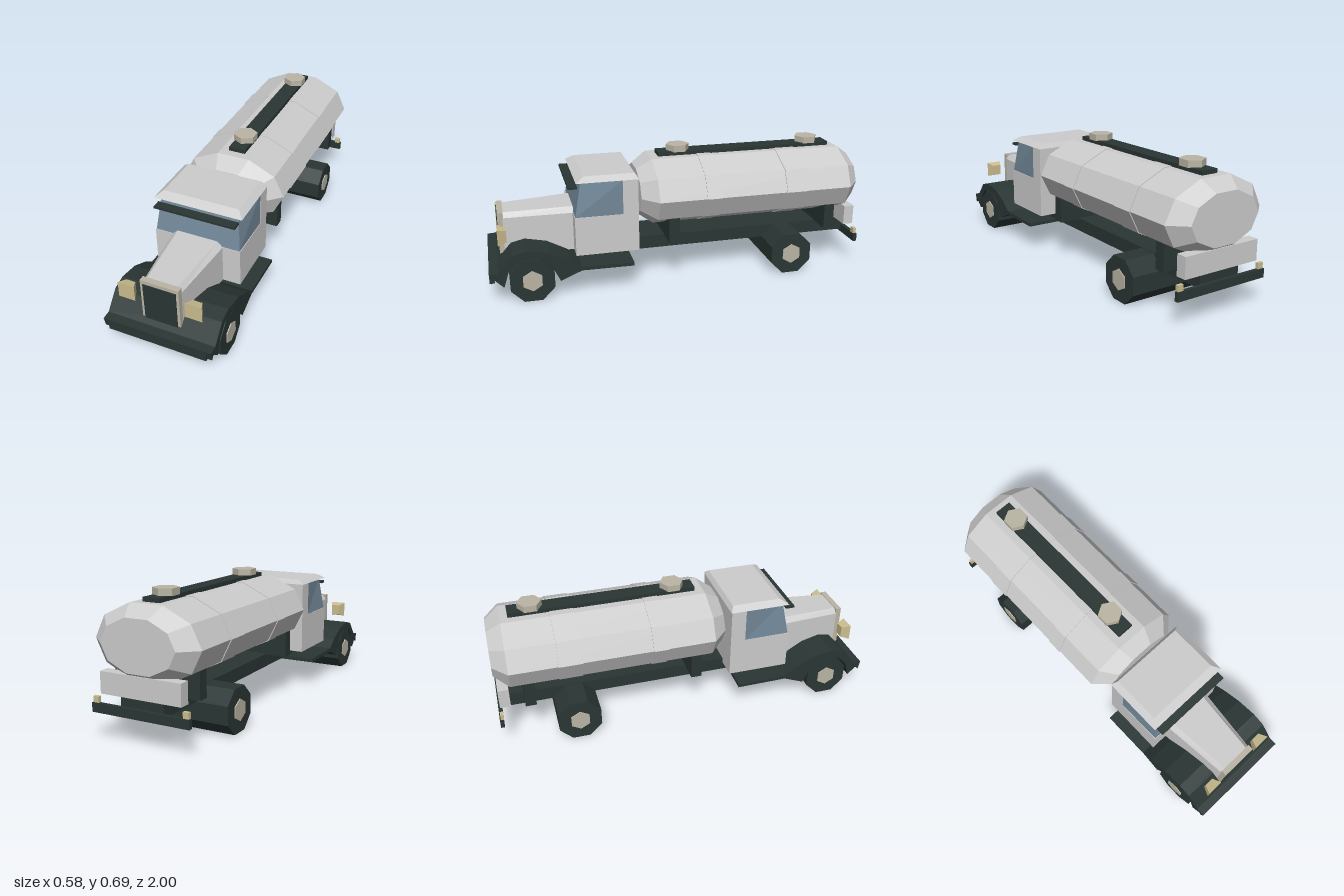
import * as THREE from 'three';

const mat = (name, color) => {
  const m = new THREE.MeshStandardMaterial({ color, flatShading: true });
  m.name = name;
  return m;
};

export function createModel() {
  const truck = new THREE.Group();
  truck.name = 'tankTruck';
  const paint = mat('light grey paint', 0xcccccc);
  const dark = mat('dark green black', 0x2a3634);
  const trim = mat('warm grey trim', 0xbab5a4);
  const lamp = mat('lamp yellow', 0xcbbd8f);
  const glass = mat('blue glass', 0x728899);

  const add = (name, geometry, material) => {
    const mesh = new THREE.Mesh(geometry, material);
    mesh.name = name;
    truck.add(mesh);
    return mesh;
  };
  // Box given by its limits on each axis
  const box = (name, m, x0, x1, y0, y1, z0, z1) => add(name,
    new THREE.BoxGeometry(x1 - x0, y1 - y0, z1 - z0)
      .translate((x0 + x1) / 2, (y0 + y1) / 2, (z0 + z1) / 2), m);
  // Box whose corners are moved by a rule
  const shaped = (name, m, rule) => {
    const g = new THREE.BoxGeometry(2, 2, 2);
    const p = g.attributes.position;
    for (let i = 0; i < p.count; i++) p.setXYZ(i, ...rule(p.getX(i), p.getY(i), p.getZ(i)));
    return add(name, g, m);
  };
  const shapeOf = (pts) => new THREE.Shape(pts.map(([x, y]) => new THREE.Vector2(x, y)));

  // Ten-sided oval body along z from [radius, z] pairs
  const oval = (name, pts) => {
    const g = new THREE.LatheGeometry(pts.map(([r, z]) => new THREE.Vector2(r, z)), 10, Math.PI / 2);
    g.rotateX(Math.PI / 2).scale(0.283, 0.186, 1).translate(0, 0.465, 0);
    return add(name, g, paint);
  };
  oval('tank', [[0, -1], [0.7, -1], [1, -0.925], [1, 0.13], [0.7, 0.21], [0, 0.21]]);
  for (const [a, b] of [[-0.68, -0.56], [-0.2, -0.12]])
    oval('tankBand', [[0, a], [1.018, a], [1.018, b], [0, b]]);

  // Walkway and filler caps
  box('walkway', dark, -0.045, 0.045, 0.635, 0.663, -0.885, 0.085);
  for (const z of [-0.03, -0.77])
    add('fillerCap', new THREE.CylinderGeometry(0.063, 0.063, 0.034, 6).translate(0, 0.678, z), trim);

  // Chassis, tank supports and rear end
  box('chassis', dark, -0.115, 0.115, 0.155, 0.225, -0.975, 0.85);
  for (const z of [0.043, -0.835])
    box('tankSupport', dark, -0.23, 0.23, 0.22, 0.355, z - 0.028, z + 0.028);
  box('rearBox', paint, -0.215, 0.215, 0.225, 0.33, -0.99, -0.935);
  box('rearBumper', dark, -0.26, 0.26, 0.135, 0.18, -1, -0.98);

  // Full-width wheels with hub caps
  for (const z of [0.79, -0.6]) {
    add('wheels', new THREE.CylinderGeometry(0.12, 0.12, 0.564, 8, 1, false, Math.PI / 8)
      .rotateZ(Math.PI / 2).translate(0, 0.111, z), dark);
    add('hubCaps', new THREE.CylinderGeometry(0.055, 0.055, 0.574, 6)
      .rotateZ(Math.PI / 2).rotateX(Math.PI / 2).translate(0, 0.111, z), trim);
  }

  // Front fenders and running boards as one profile across the truck
  const fender = new THREE.ExtrudeGeometry(shapeOf([
    [0.27, 0.155], [0.54, 0.16], [0.6, 0.205], [0.7, 0.255], [0.81, 0.274], [0.88, 0.255],
    [0.955, 0.168], [1, 0.165], [0.99, 0.115], [0.975, 0.135], [0.93, 0.09], [0.905, 0.17], [0.85, 0.225],
    [0.74, 0.225], [0.69, 0.18], [0.65, 0.095], [0.54, 0.14], [0.27, 0.137]]),
  { depth: 0.564, bevelEnabled: false });
  add('fenders', fender.rotateY(-Math.PI / 2).translate(0.282, 0, 0), dark);
  box('frontBumper', dark, -0.256, 0.256, 0.108, 0.165, 0.975, 1);

  // Cab
  box('cabBody', paint, -0.23, 0.23, 0.2, 0.405, 0.232, 0.56);
  box('cabRear', paint, -0.23, 0.23, 0.405, 0.587, 0.232, 0.312);
  shaped('cabWindows', glass, (x, y, z) => [
    x * (z < 0 ? 0.228 : y > 0 ? 0.206 : 0.226), y > 0 ? 0.587 : 0.405,
    z < 0 ? 0.31 : y > 0 ? 0.522 : 0.557]);
  shaped('roof', paint, (x, y, z) => [
    x * (y > 0 ? 0.2 : 0.234), y > 0 ? 0.612 : 0.586,
    z < 0 ? (y > 0 ? 0.245 : 0.228) : (y > 0 ? 0.505 : 0.548)]);
  box('sunVisor', dark, -0.215, 0.215, 0.552, 0.564, 0.54, 0.587);

  // Hood narrowing towards the grille
  const hood = new THREE.ExtrudeGeometry(shapeOf([
    [-0.137, 0.2], [0.137, 0.2], [0.137, 0.402], [0.108, 0.428], [-0.108, 0.428], [-0.137, 0.402]]),
  { depth: 0.36, bevelEnabled: false }).translate(0, 0, 0.555);
  const hp = hood.attributes.position;
  for (let i = 0; i < hp.count; i++)
    if (hp.getZ(i) > 0.7) hp.setXY(i, hp.getX(i) * 0.72, hp.getY(i) * 0.97);
  add('hood', hood, paint);
  box('grilleSurround', trim, -0.099, 0.099, 0.2, 0.419, 0.908, 0.938);
  box('grille', dark, -0.085, 0.085, 0.197, 0.4, 0.934, 0.942);

  // Lamps on both sides
  for (const s of [-1, 1]) {
    shaped('headlight', lamp, (x, y, z) => [
      s * 0.173 + x * (z > 0 ? 0.043 : 0.024), 0.328 + y * (z > 0 ? 0.042 : 0.03),
      z > 0 ? 0.945 : 0.9]);
    box('tailLight', lamp, s * 0.24 - 0.015, s * 0.24 + 0.015, 0.18, 0.21, -0.995, -0.978);
  }
  return truck;
}
